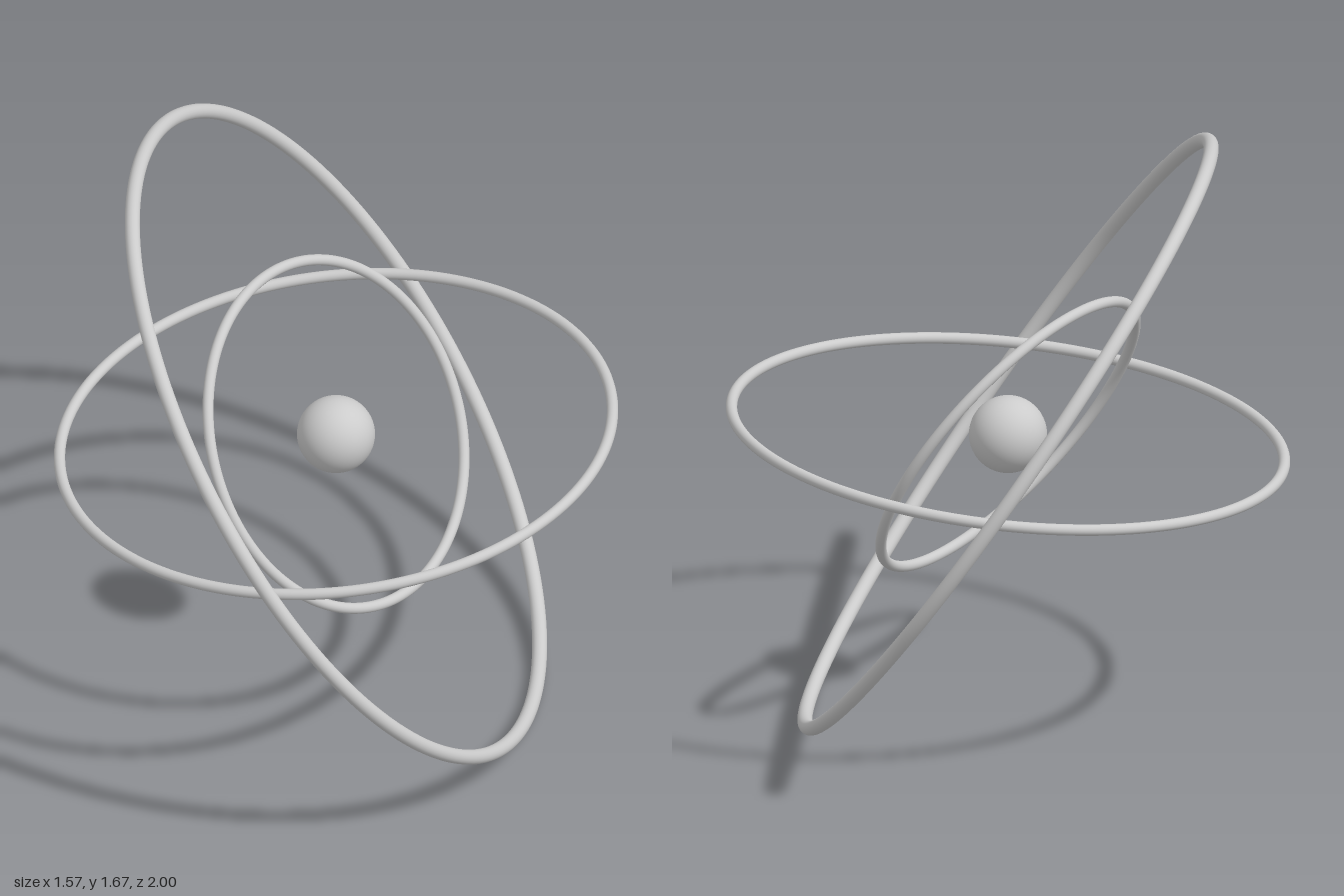
import * as THREE from 'three';

export function createModel() {
  const model = new THREE.Group();
  const material = new THREE.MeshStandardMaterial({ color: 0xcccccc });
  const centreY = 0.838;

  // Central sphere
  const core = new THREE.Mesh(new THREE.SphereGeometry(0.109, 48, 32), material);
  core.name = 'core';
  core.position.y = centreY;
  model.add(core);

  // Tilted rings, each given by its radius, tube radius and axis
  const forward = new THREE.Vector3(0, 0, 1);
  const tilt = THREE.MathUtils.degToRad(6);
  const rings = [
    ['innerRing', 0.491, 0.0155, [0.643, 0.521, 0.562]],
    ['middleRing', 0.775, 0.016, [-Math.sin(tilt), Math.cos(tilt), 0]],
    ['outerRing', 0.99, 0.021, [0.809, 0.566, 0.16]],
  ];
  for (const [name, radius, tube, axis] of rings) {
    const ring = new THREE.Mesh(new THREE.TorusGeometry(radius, tube, 20, 160), material);
    ring.name = name;
    ring.position.y = centreY;
    ring.quaternion.setFromUnitVectors(forward, new THREE.Vector3(...axis).normalize());
    model.add(ring);
  }
  return model;
}
